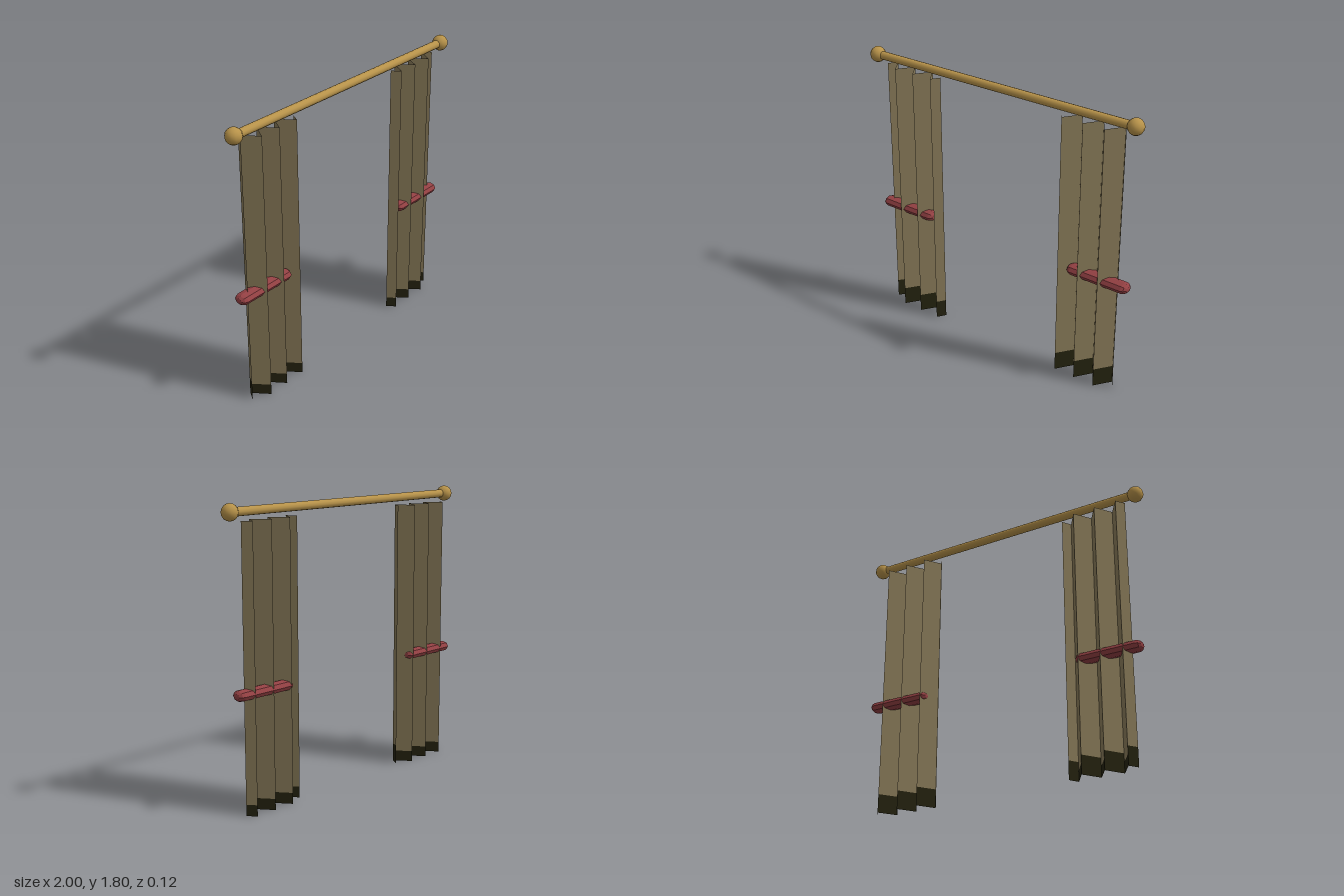
import * as THREE from 'three';

const paint = (name, color, side = THREE.FrontSide) => {
  const m = new THREE.MeshStandardMaterial({ color, side });
  m.name = name;
  return m;
};

export function createModel() {
  const brass = paint('brass', 0xb8934a);
  const cloth = paint('cloth', 0x877958, THREE.DoubleSide);
  const hem = paint('dark hem', 0x24220f, THREE.DoubleSide);
  const red = paint('red tie', 0x934043);
  red.flatShading = true;

  const model = new THREE.Group();
  model.name = 'curtains';
  const add = (parent, name, geometry, material, x, y, z) => {
    const mesh = new THREE.Mesh(geometry, material);
    mesh.name = name;
    mesh.position.set(x, y, z);
    parent.add(mesh);
    return mesh;
  };

  // Rod with a ball at each end
  const rod = add(model, 'rod', new THREE.CylinderGeometry(0.026, 0.026, 1.9, 12), brass, 0, 1.75, 0.01);
  rod.rotation.z = Math.PI / 2;
  const ball = new THREE.SphereGeometry(0.05, 12, 8);

  // Fold line of one curtain, from its inner to its outer edge: [x, z]
  const folds = [[0.453, -0.01], [0.488, 0.047], [0.559, -0.06], [0.631, 0.047],
    [0.702, -0.06], [0.774, 0.047], [0.846, -0.06], [0.884, -0.005]];

  // Pleated strip between the heights given for each pleat
  const pleats = (points, bottom, top) => {
    const pos = [];
    for (let i = 0; i < points.length - 1; i++) {
      const [[x0, z0], [x1, z1]] = [points[i], points[i + 1]];
      const facesLeft = z1 < z0;
      const y0 = bottom(facesLeft), y1 = top(facesLeft);
      pos.push(x0, y0, z0, x1, y0, z1, x1, y1, z1, x0, y0, z0, x1, y1, z1, x0, y1, z0);
    }
    const g = new THREE.BufferGeometry();
    g.setAttribute('position', new THREE.Float32BufferAttribute(pos, 3));
    g.computeVertexNormals();
    return g;
  };
  // The hem is taller on the pleats that turn towards +x
  const hemTop = (facesLeft) => (facesLeft ? 0.118 : 0.068);

  for (const s of [1, -1]) {
    const side = new THREE.Group();
    side.name = s > 0 ? 'leftSide' : 'rightSide';
    model.add(side);
    add(side, 'finial', ball, brass, s * 0.95, 1.75, 0.01);

    const line = folds.map(([x, z]) => [s * x, z]);
    if (s < 0) line.reverse();
    add(side, 'curtain', pleats(line, hemTop, () => 1.7), cloth, 0, 0, 0);
    add(side, 'hem', pleats(line, () => 0, hemTop), hem, 0, 0, 0);

    // Flattened tie running through the folds
    const tie = add(side, 'tieback', new THREE.CapsuleGeometry(0.034, 0.36, 3, 8), red, s * 0.741, 0.722, -0.014);
    tie.rotation.z = Math.PI / 2;
    tie.scale.z = 1.42;
  }
  return model;
}
